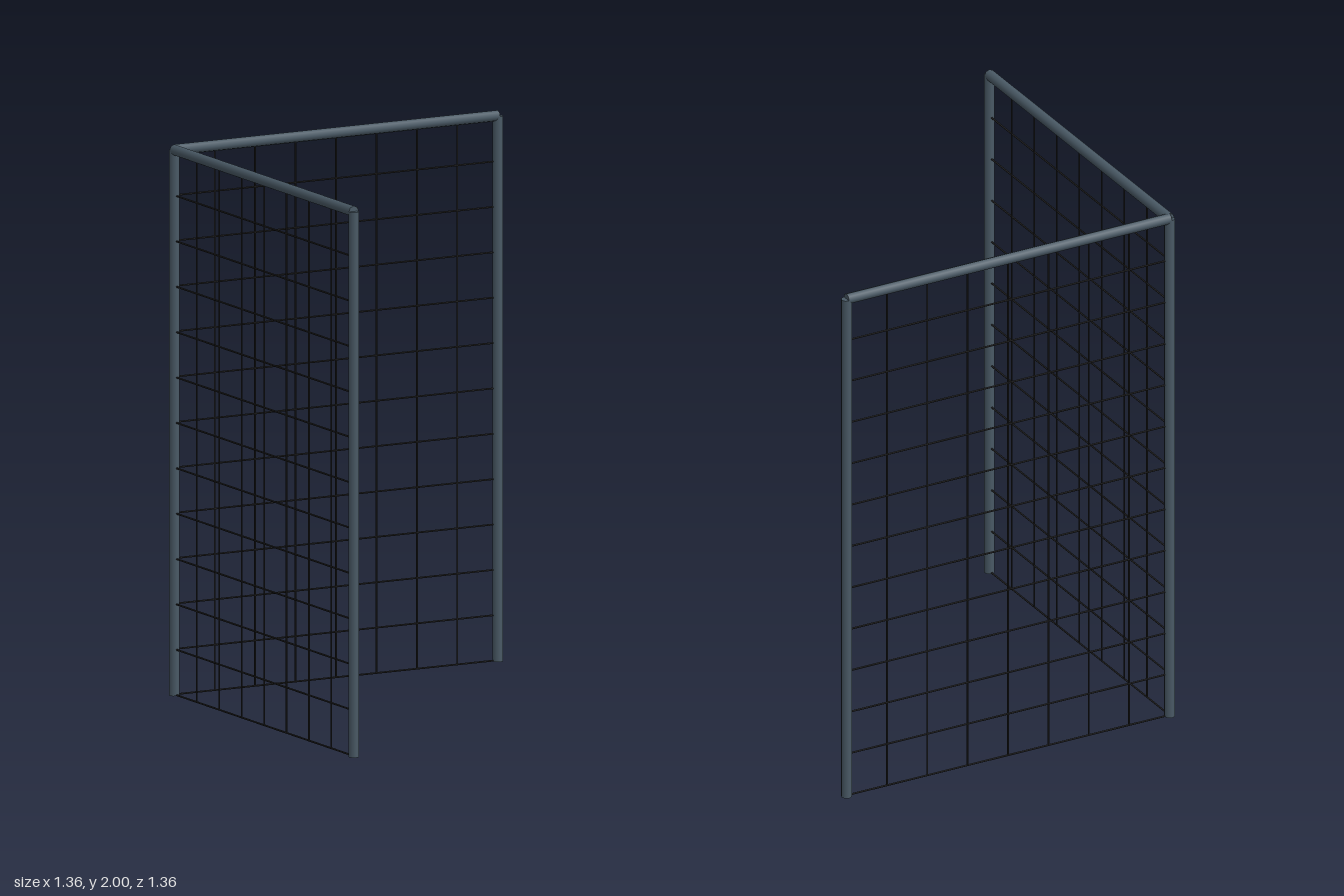
import * as THREE from 'three';

const HALF = 0.659;          // half the panel width
const BOTTOM = 0.0033;       // centre height of the lowest wire
const TOP = 1.98;            // centre height of the rails
const FRAME_R = 0.02, WIRE_R = 0.0033;
const COLS = 8, ROWS = 12;

const frameMat = new THREE.MeshStandardMaterial({ color: 0x4a5a66 });
const wireMat = new THREE.MeshStandardMaterial({ color: 0x222222 });

// Straight round bar between two points
function bar(name, a, b, radius, sides, material) {
  const from = new THREE.Vector3(...a), dir = new THREE.Vector3(...b).sub(from);
  const mesh = new THREE.Mesh(new THREE.CylinderGeometry(radius, radius, dir.length(), sides), material);
  mesh.position.copy(from).addScaledVector(dir, 0.5);
  mesh.quaternion.setFromUnitVectors(new THREE.Vector3(0, 1, 0), dir.normalize());
  mesh.name = name;
  return mesh;
}

// One mesh panel in the xy plane: top rail and wire grid
function panel(name) {
  const g = new THREE.Group();
  g.name = name;
  g.add(bar('topRail', [-HALF, TOP, 0], [HALF, TOP, 0], FRAME_R, 8, frameMat));
  for (let i = 1; i < COLS; i++) {
    const x = -HALF + (2 * HALF * i) / COLS;
    g.add(bar('verticalWire', [x, BOTTOM, 0], [x, TOP, 0], WIRE_R, 6, wireMat));
  }
  for (let j = 0; j < ROWS; j++) {
    const y = BOTTOM + ((TOP - BOTTOM) * j) / ROWS;
    g.add(bar('horizontalWire', [-HALF, y, 0], [HALF, y, 0], WIRE_R, 6, wireMat));
  }
  return g;
}

export function createModel() {
  const model = new THREE.Group();
  model.name = 'cornerFence';

  // Two panels meeting at the back right corner
  const back = panel('backPanel');
  back.position.z = -HALF;
  const side = panel('sidePanel');
  side.rotation.y = Math.PI / 2;
  side.position.x = -HALF;
  model.add(back, side);

  // Corner post and the two end posts
  for (const [name, x, z] of [['cornerPost', -HALF, -HALF], ['backEndPost', HALF, -HALF], ['sideEndPost', -HALF, HALF]]) {
    model.add(bar(name, [x, 0, z], [x, TOP, z], FRAME_R, 8, frameMat));
  }
  return model;
}
